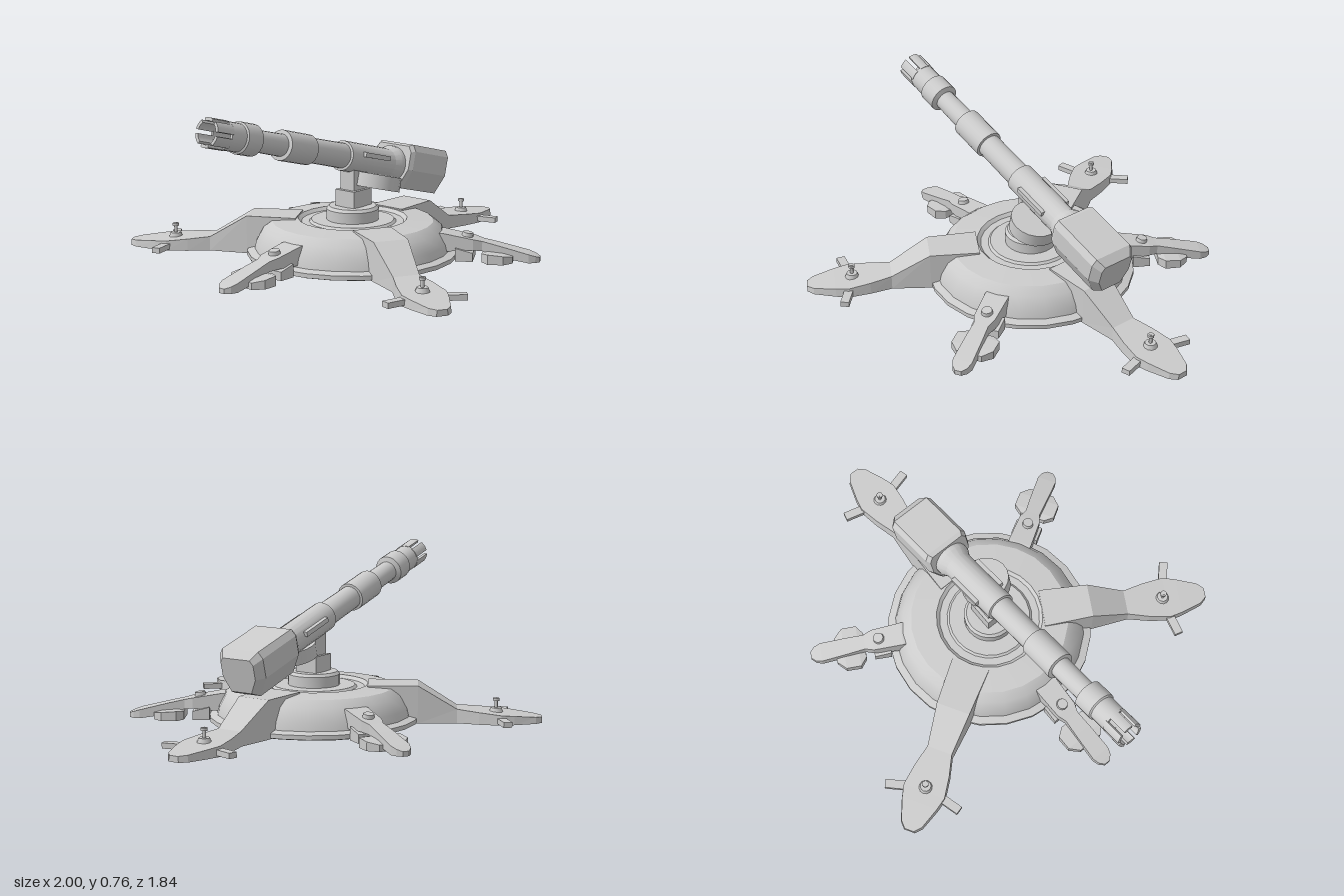
import * as THREE from 'three';
import { toCreasedNormals } from 'three/addons/utils/BufferGeometryUtils.js';

const grey = new THREE.MeshStandardMaterial({ color: 0xcccccc, side: THREE.DoubleSide });
const flat = new THREE.MeshStandardMaterial({ color: 0xcccccc, side: THREE.DoubleSide, flatShading: true });

function add(parent, name, geo, x = 0, y = 0, z = 0, mat = grey) {
  const mesh = new THREE.Mesh(geo, mat);
  mesh.name = name;
  mesh.position.set(x, y, z);
  parent.add(mesh);
  return mesh;
}

function group(parent, name, x = 0, y = 0, z = 0) {
  const g = new THREE.Group();
  g.name = name;
  g.position.set(x, y, z);
  parent.add(g);
  return g;
}

const lathe = (pts, sides) =>
  toCreasedNormals(new THREE.LatheGeometry(pts.map(p => new THREE.Vector2(...p)), sides), 0.5);

// Skin equal-sized rings along x; rings run top left -> top right -> bottom
function loft(rings, capped = true) {
  const v = [];
  const tri = (a, b, c) => v.push(...a, ...b, ...c);
  const n = rings[0].length;
  for (let i = 0; i < rings.length - 1; i++) {
    for (let k = 0; k < n; k++) {
      if (!capped && k === 2) continue; // open underside
      const m = (k + 1) % n, p = rings[i], q = rings[i + 1];
      tri(p[k], q[k], q[m]);
      tri(p[k], q[m], p[m]);
    }
  }
  const first = rings[0], last = rings[rings.length - 1];
  for (let k = 1; k < n - 1; k++) {
    tri(first[0], first[k], first[k + 1]);
    tri(last[0], last[k + 1], last[k]);
  }
  const geo = new THREE.BufferGeometry();
  geo.setAttribute('position', new THREE.Float32BufferAttribute(v, 3));
  geo.computeVertexNormals();
  return geo;
}

// Station: radius, half width, top height, bottom height
const beam = (stations, flare, capped) => loft(stations.map(([r, w, t, b]) =>
  [[r, t, w], [r, t, -w], [r, b, -w - flare], [r, b, w + flare]]), capped);

function longLeg(parent, angle) {
  const leg = group(parent, 'longLeg');
  leg.rotation.y = angle;
  add(leg, 'legShell', beam([
    [0.25, 0.09, 0.175, 0], [0.48, 0.08, 0.175, 0], [0.66, 0.06, 0.065, 0], [0.76, 0.085, 0.055, 0],
    [0.86, 0.1, 0.045, 0], [0.92, 0.085, 0.04, 0], [1.02, 0.05, 0.03, 0], [1.05, 0.022, 0.027, 0],
  ], 0.004, false), 0, 0, 0, flat);
  for (const s of [1, -1]) {
    const claw = add(leg, 'sideClaw', new THREE.BoxGeometry(0.04, 0.025, 0.12), 0.87, 0.02, s * 0.125, flat);
    claw.rotation.y = s * 0.26;
  }
  add(leg, 'anchorCollar', new THREE.CylinderGeometry(0.025, 0.032, 0.02, 12), 0.84, 0.055);
  add(leg, 'anchorPin', new THREE.CylinderGeometry(0.008, 0.008, 0.06, 8), 0.84, 0.08);
  add(leg, 'anchorHead', new THREE.CylinderGeometry(0.015, 0.015, 0.012, 10), 0.84, 0.102);
}

function shortLeg(parent, angle) {
  const leg = group(parent, 'shortLeg');
  leg.rotation.y = angle;
  add(leg, 'strut', beam([
    [0.36, 0.05, 0.125, 0.03], [0.42, 0.055, 0.125, 0.04], [0.56, 0.05, 0.1, 0.05], [0.6, 0.035, 0.09, 0.045],
    [0.68, 0.04, 0.072, 0.02], [0.81, 0.045, 0.04, 0], [0.84, 0.035, 0.03, 0], [0.86, 0.015, 0.022, 0],
  ], 0), 0, 0, 0, flat);
  // Stabiliser pads and inner brace
  add(leg, 'footPad', beam([[0.6, 0.06, 0.04, 0], [0.63, 0.1, 0.045, 0], [0.7, 0.1, 0.04, 0], [0.74, 0.06, 0.03, 0]], 0),
    0, 0, 0, flat);
  add(leg, 'brace', beam([[0.48, 0.065, 0.06, 0], [0.56, 0.065, 0.04, 0]], 0), 0, 0, 0, flat);
  add(leg, 'pivotBolt', new THREE.CylinderGeometry(0.024, 0.028, 0.025, 14), 0.53, 0.11).rotation.z = -0.17;
}

// Octagonal block section, shrunk towards the rear
const blockRing = (x, s) => [[0.085, 0.1], [0.085, -0.1], [0.11, 0], [0, 0]].length && [
  [x, 0.105 * s, 0.095 * s], [x, 0.105 * s, -0.095 * s], [x, 0.075 * s, -0.115 * s], [x, -0.015 * s, -0.115 * s],
  [x, -0.105 * s, -0.07 * s], [x, -0.105 * s, 0.07 * s], [x, -0.015 * s, 0.115 * s], [x, 0.075 * s, 0.115 * s],
];

function prong(start, sweep) {
  const shape = new THREE.Shape();
  shape.absarc(0, 0, 0.064, start, start + sweep, false);
  shape.absarc(0, 0, 0.05, start + sweep, start, true);
  const geo = new THREE.ExtrudeGeometry(shape, { depth: 0.1, bevelEnabled: false, curveSegments: 4 });
  return geo.rotateY(Math.PI / 2);
}

function gun(parent) {
  const g = group(parent, 'gun', -0.98, 0.7, 0);
  g.rotation.z = -0.263;
  // Barrel outline from bore to rear collar
  const barrel = lathe([
    [0, 0.2], [0.048, 0.2], [0.05, 0.09], [0.062, 0.09], [0.062, 0.18], [0.07, 0.185], [0.07, 0.275], [0.048, 0.285],
    [0.05, 0.46], [0.068, 0.462], [0.068, 0.64], [0.056, 0.642], [0.058, 0.88], [0.069, 0.882],
    [0.069, 1.2], [0.085, 1.23], [0.085, 1.28], [0, 1.28],
  ], 20);
  add(g, 'barrel', barrel.rotateZ(-Math.PI / 2));
  for (let i = 0; i < 6; i++) add(g, 'muzzleProng', prong(i * Math.PI / 3 + 0.15, 0.74));
  add(g, 'breechBlock', loft([blockRing(1.255, 0.9), blockRing(1.275, 1), blockRing(1.535, 1), blockRing(1.575, 0.75)]),
    0, 0, 0, flat);
  for (const s of [1, -1]) add(g, 'sideRail', new THREE.BoxGeometry(0.18, 0.022, 0.02), 1.05, 0.022, s * 0.07, flat);
  // Round drum hung beneath one side
  add(g, 'drum', new THREE.CylinderGeometry(0.115, 0.115, 0.065, 20), 1.09, -0.09, 0.055);
}

export function createModel() {
  const model = new THREE.Group();
  model.name = 'turret';
  const base = group(model, 'base', -0.05, 0, 0);

  // Hollow dome with rim and grooved top
  add(base, 'dome', lathe([
    [0.47, 0], [0.485, 0.005], [0.485, 0.025], [0.45, 0.035], [0.442, 0.07], [0.41, 0.13], [0.37, 0.16],
    [0.25, 0.17], [0.235, 0.155], [0.2, 0.155], [0.19, 0.165], [0.11, 0.165],
  ], 24));
  for (let i = 0; i < 3; i++) {
    longLeg(base, i * Math.PI * 2 / 3);
    shortLeg(base, Math.PI / 3 + i * Math.PI * 2 / 3);
  }

  // Swivel and neck
  add(base, 'swivel', lathe([
    [0.09, 0.13], [0.12, 0.14], [0.12, 0.215], [0.108, 0.228], [0.07, 0.228], [0, 0.222],
  ], 24));
  add(base, 'neck', new THREE.BoxGeometry(0.125, 0.085, 0.11), 0.005, 0.262, 0, flat);
  add(base, 'neckBracket', new THREE.BoxGeometry(0.1, 0.12, 0.08), 0.01, 0.345, 0, flat);

  gun(model);
  return model;
}
